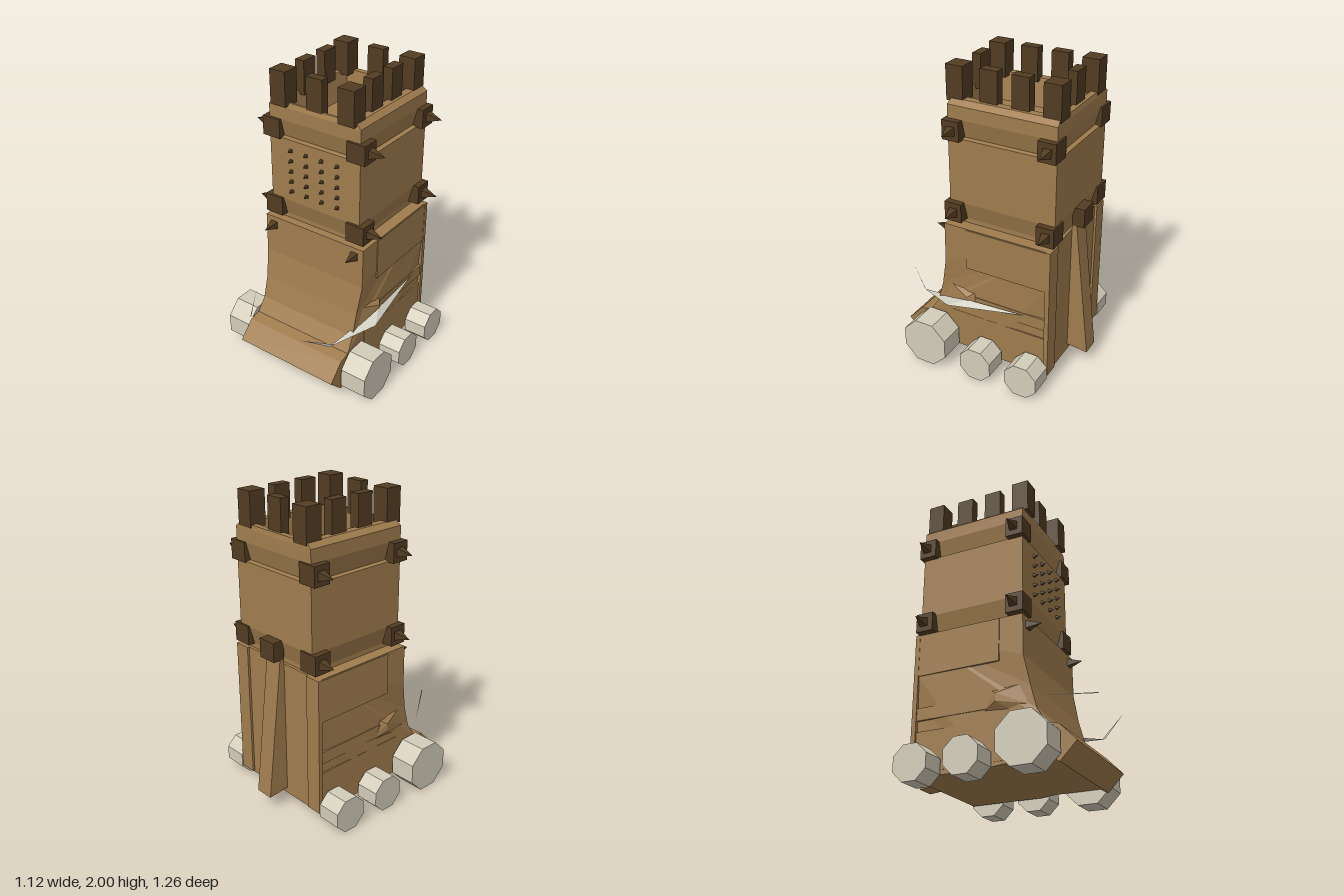
import * as THREE from 'three';
import { ConvexGeometry } from 'three/addons/geometries/ConvexGeometry.js';

const mat = (name, color, extra = {}) => {
  const m = new THREE.MeshStandardMaterial({ color, flatShading: true, ...extra });
  m.name = name;
  return m;
};

export function createModel() {
  const wood = mat('wood', 0xa07c4e);
  const dark = mat('dark wood', 0x523c22);
  const stone = mat('pale wheel', 0xd3ccba);
  const steel = mat('blade', 0xcfccc0, { side: THREE.DoubleSide });
  const model = new THREE.Group();
  model.name = 'siegeTower';

  const add = (name, geo, material, x = 0, y = 0, z = 0) => {
    const m = new THREE.Mesh(geo, material);
    m.name = name;
    m.position.set(x, y, z);
    model.add(m);
    return m;
  };
  // Box given by its limits
  const box = (name, material, x0, x1, y0, y1, z0, z1) =>
    add(name, new THREE.BoxGeometry(x1 - x0, y1 - y0, z1 - z0), material,
      (x0 + x1) / 2, (y0 + y1) / 2, (z0 + z1) / 2);
  // Four-sided spike with its base at the origin, pointing up +y
  const spikeGeo = (side, length) => new THREE.ConeGeometry(side / Math.SQRT2, length, 4)
    .rotateY(Math.PI / 4).translate(0, length / 2, 0);
  // Faces through a list of corner points
  const faces = (points, tris) => {
    const g = new THREE.BufferGeometry();
    g.setAttribute('position', new THREE.Float32BufferAttribute(tris.flatMap(i => points[i]), 3));
    g.computeVertexNormals();
    return g;
  };

  // Upper tower: rectangular rings [y, half width, front z, back z], out, over the rim and into the pit
  const rings = [
    [0.97, 0.30, 0.18, -0.47], [1.02, 0.30, 0.18, -0.47], [1.14, 0.335, 0.215, -0.505],
    [1.565, 0.335, 0.215, -0.505], [1.57, 0.305, 0.185, -0.475], [1.685, 0.335, 0.215, -0.505],
    [1.77, 0.335, 0.215, -0.505], [1.80, 0.30, 0.205, -0.50], [1.80, 0.25, 0.19, -0.46],
    [1.62, 0.22, 0.18, -0.445], [1.62, 0, -0.13, -0.13],
  ];
  const corners = rings.flatMap(([y, hx, zf, zb]) =>
    [[hx, y, zf], [hx, y, zb], [-hx, y, zb], [-hx, y, zf]]);
  const tris = [];
  for (let r = 0; r < rings.length - 1; r++) {
    for (let i = 0; i < 4; i++) {
      const a = r * 4 + i, b = r * 4 + (i + 1) % 4;
      tris.push(a, b, b + 4, a, b + 4, a + 4);
    }
  }
  add('upperTower', faces(corners, tris), wood);

  // Lower body: curved front with a ram wedge, waist pinched by height
  const profile = [
    [0.235, 0.99], [0.238, 0.72], [0.275, 0.53], [0.315, 0.38], [0.375, 0.285], [0.45, 0.268],
    [0.555, 0.158], [0.45, 0.05], [0.40, 0.08], [0.10, 0.08], [0, 0.07], [-0.49, 0.07],
    [-0.49, 0.38], [-0.49, 0.53], [-0.49, 0.72], [-0.49, 0.99],
  ];
  const body = new THREE.ExtrudeGeometry(
    new THREE.Shape(profile.map(([z, y]) => new THREE.Vector2(z, y))),
    { depth: 0.75, bevelEnabled: false, steps: 1 });
  body.translate(0, 0, -0.375).rotateY(-Math.PI / 2);
  const p = body.attributes.position;
  for (let i = 0; i < p.count; i++) {
    const y = p.getY(i);
    const hx = y > 0.7 ? 0.38 : y > 0.35 ? 0.365 : 0.373;
    p.setX(i, Math.sign(p.getX(i)) * hx);
  }
  body.computeVertexNormals();
  add('lowerBody', body, wood);

  // Rear support beam with its dark cap
  const beam = [];
  for (const x of [-0.062, 0.062]) {
    beam.push([x, 1.03, -0.49], [x, 1.03, -0.52], [x, 0.095, -0.632], [x, 0.11, -0.49]);
  }
  add('rearBeam', new ConvexGeometry(beam.map(v => new THREE.Vector3(...v))), wood);
  box('rearBeamCap', dark, -0.064, 0.064, 1.02, 1.145, -0.57, -0.49);

  for (const s of [-1, 1]) {
    const sideBox = (name, m, x0, x1, ...rest) =>
      box(name, m, Math.min(s * x0, s * x1), Math.max(s * x0, s * x1), ...rest);

    // Side planks and rear corner posts
    sideBox('upperPlank', wood, 0.33, 0.386, 0.71, 0.985, -0.48, 0.08);
    sideBox('middlePlank', wood, 0.33, 0.381, 0.42, 0.50, -0.48, 0.05);
    sideBox('lowerPlank', wood, 0.33, 0.376, 0.10, 0.35, -0.48, 0.20);
    sideBox('rearPost', wood, 0.28, 0.388, 0.08, 0.99, -0.505, -0.475);

    // Faceted bulge behind the curved front
    const bulge = [[0.35, 0.56, 0.26], [0.35, 0.55, 0], [0.405, 0.50, 0.07], [0.405, 0.45, 0.07],
      [0.35, 0.36, 0.20], [0.35, 0.38, -0.08], [0.37, 0.42, 0.25]];
    add('sideBulge', new ConvexGeometry(bulge.map(([x, y, z]) => new THREE.Vector3(s * x, y, z))), wood);

    // Octagonal wheels: z, flat radius, inner x, outer x
    for (const [z, r, x0, x1] of [[0.307, 0.155, 0.385, 0.562], [-0.068, 0.11, 0.395, 0.552], [-0.397, 0.11, 0.395, 0.552]]) {
      const R = r / Math.cos(Math.PI / 8);
      const g = new THREE.CylinderGeometry(R, R, x1 - x0, 8).rotateY(Math.PI / 8).rotateZ(Math.PI / 2);
      add('wheel', g, stone, s * (x0 + x1) / 2, r, z);
      sideBox('axle', dark, 0.30, x0 + 0.02, r - 0.025, r + 0.025, z - 0.025, z + 0.025);
    }

    // Corner brackets with outward spikes
    for (const y of [1.082, 1.622]) {
      for (const [z0, z1, zs] of [[0.115, 0.232, 0.17], [-0.517, -0.40, -0.463]]) {
        sideBox('bracket', dark, 0.247, 0.376, y - 0.063, y + 0.063, z0, z1);
        add('bracketSpike', spikeGeo(0.055, 0.1), dark, s * 0.375, y, zs).rotation.z = -s * Math.PI / 2;
      }
    }

    // Spike on the front shoulder
    add('frontSpike', spikeGeo(0.052, 0.1), dark, s * 0.315, 0.933, 0.233).rotation.x = Math.PI / 2;

    // Corner and side merlons
    sideBox('cornerMerlon', dark, 0.19, 0.303, 1.78, 2, 0.125, 0.238);
    sideBox('cornerMerlon', dark, 0.19, 0.303, 1.78, 2, -0.507, -0.395);
    sideBox('sideMerlon', dark, 0.215, 0.28, 1.78, 2, -0.09, 0.025);
    sideBox('sideMerlon', dark, 0.215, 0.28, 1.78, 2, -0.297, -0.183);
  }

  // Middle merlons
  box('frontMerlon', dark, -0.058, 0.058, 1.78, 2, 0.15, 0.208);
  box('rearMerlon', dark, -0.058, 0.058, 1.78, 2, -0.482, -0.422);

  // Grid of small studs on the front
  const stud = spikeGeo(0.022, 0.037);
  for (let i = 0; i < 4; i++) {
    for (let j = 0; j < 5; j++) {
      add('stud', stud, dark, -0.174 + i * 0.116, 1.215 + j * 0.07, 0.214).rotation.x = Math.PI / 2;
    }
  }

  // Thin blades reaching forward at both sides
  add('leftBlade', faces([
    [0.20, 0.48, 0.632], [0.30, 0.37, 0.47], [0.32, 0.385, 0.45],
    [0.455, 0.43, 0.19], [0.40, 0.48, 0.07], [0.39, 0.495, -0.34],
  ], [0, 1, 2, 1, 3, 4, 3, 5, 4]), steel);
  add('rightBlade', faces([
    [-0.20, 0.48, 0.632], [-0.215, 0.468, 0.625], [-0.41, 0.435, 0.34],
  ], [0, 1, 2]), steel);

  return model;
}
